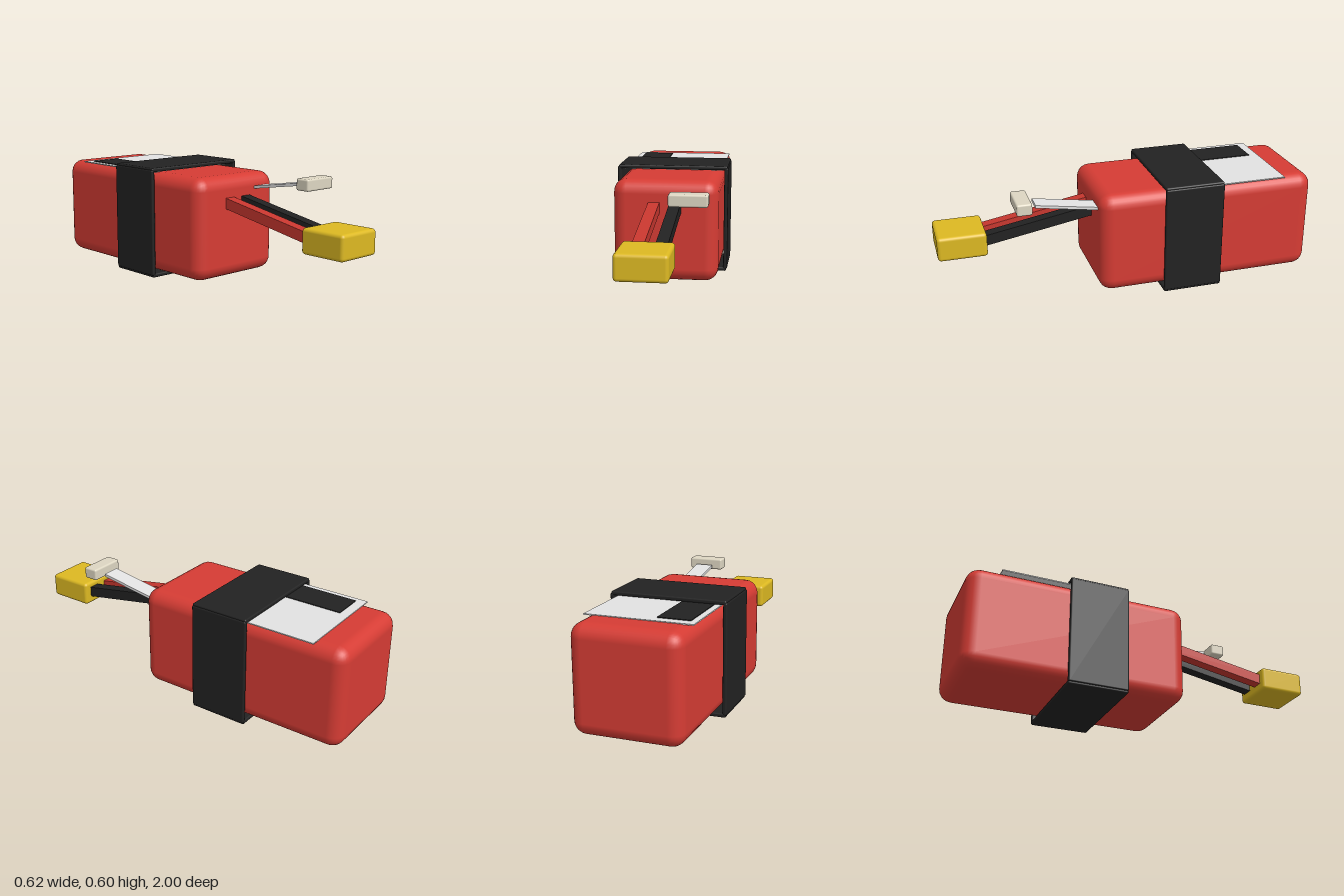
import * as THREE from 'three';
import { RoundedBoxGeometry } from 'three/addons/geometries/RoundedBoxGeometry.js';

const material = (name, color) => {
  const m = new THREE.MeshStandardMaterial({ color });
  m.name = name;
  return m;
};

export function createModel() {
  const red = material('red wrap', 0xd63c34);
  const wireRed = material('red wire', 0xc8372f);
  const black = material('black', 0x222222);
  const white = material('label white', 0xe2e2e2);
  const yellow = material('yellow plastic', 0xddb922);
  const cream = material('cream plastic', 0xddd6c2);

  const model = new THREE.Group();
  model.name = 'batteryPack';

  // Box from its min and max corners, rounded when a radius is given
  const box = (name, mat, [x0, y0, z0], [x1, y1, z1], radius = 0, segments = 3) => {
    const size = [x1 - x0, y1 - y0, z1 - z0];
    const geometry = radius
      ? new RoundedBoxGeometry(...size, segments, radius)
      : new THREE.BoxGeometry(...size);
    const mesh = new THREE.Mesh(geometry, mat);
    mesh.name = name;
    mesh.position.set((x0 + x1) / 2, (y0 + y1) / 2, (z0 + z1) / 2);
    model.add(mesh);
    return mesh;
  };

  // Straight lead between two points given as [y, z] at a fixed x
  const lead = (name, mat, x, width, thickness, [y0, z0], [y1, z1]) => {
    const length = Math.hypot(y1 - y0, z1 - z0);
    const mesh = new THREE.Mesh(new THREE.BoxGeometry(width, thickness, length), mat);
    mesh.name = name;
    mesh.position.set(x, (y0 + y1) / 2, (z0 + z1) / 2);
    mesh.rotation.x = -Math.atan2(y1 - y0, z1 - z0);
    model.add(mesh);
  };

  // Pack body
  box('body', red, [-0.28, 0.025, -1], [0.28, 0.57, 0.185], 0.07);

  // Label and its dark panel on the top
  box('label', white, [-0.275, 0.568, -0.83], [0.275, 0.574, -0.2]);
  box('labelPanel', black, [-0.243, 0.572, -0.78], [-0.075, 0.578, -0.3]);

  // Strap made of four slabs
  const zBack = -0.475, zFront = -0.155;
  box('strapTop', black, [-0.305, 0.577, zBack], [0.305, 0.599, zFront], 0.008, 2);
  box('strapBottom', black, [-0.305, 0, zBack], [0.305, 0.022, zFront], 0.008, 2);
  for (const side of [-1, 1]) {
    const x = side * 0.299;
    box(side > 0 ? 'strapLeft' : 'strapRight', black,
      [x - 0.011, 0.012, zBack], [x + 0.011, 0.589, zFront], 0.008, 2);
  }

  // Power wires and connector
  lead('redWire', wireRed, -0.058, 0.06, 0.056, [0.443, 0.1], [0.325, 0.77]);
  lead('blackWire', black, 0.055, 0.06, 0.056, [0.443, 0.1], [0.325, 0.77]);
  box('powerConnector', yellow, [-0.126, 0.258, 0.745], [0.126, 0.388, 1], 0.018);

  // Balance lead and plug
  lead('balanceLead', white, 0.167, 0.095, 0.015, [0.483, 0.12], [0.544, 0.507]);
  box('balancePlug', cream, [0.07, 0.521, 0.53], [0.263, 0.583, 0.61], 0.01);

  return model;
}
